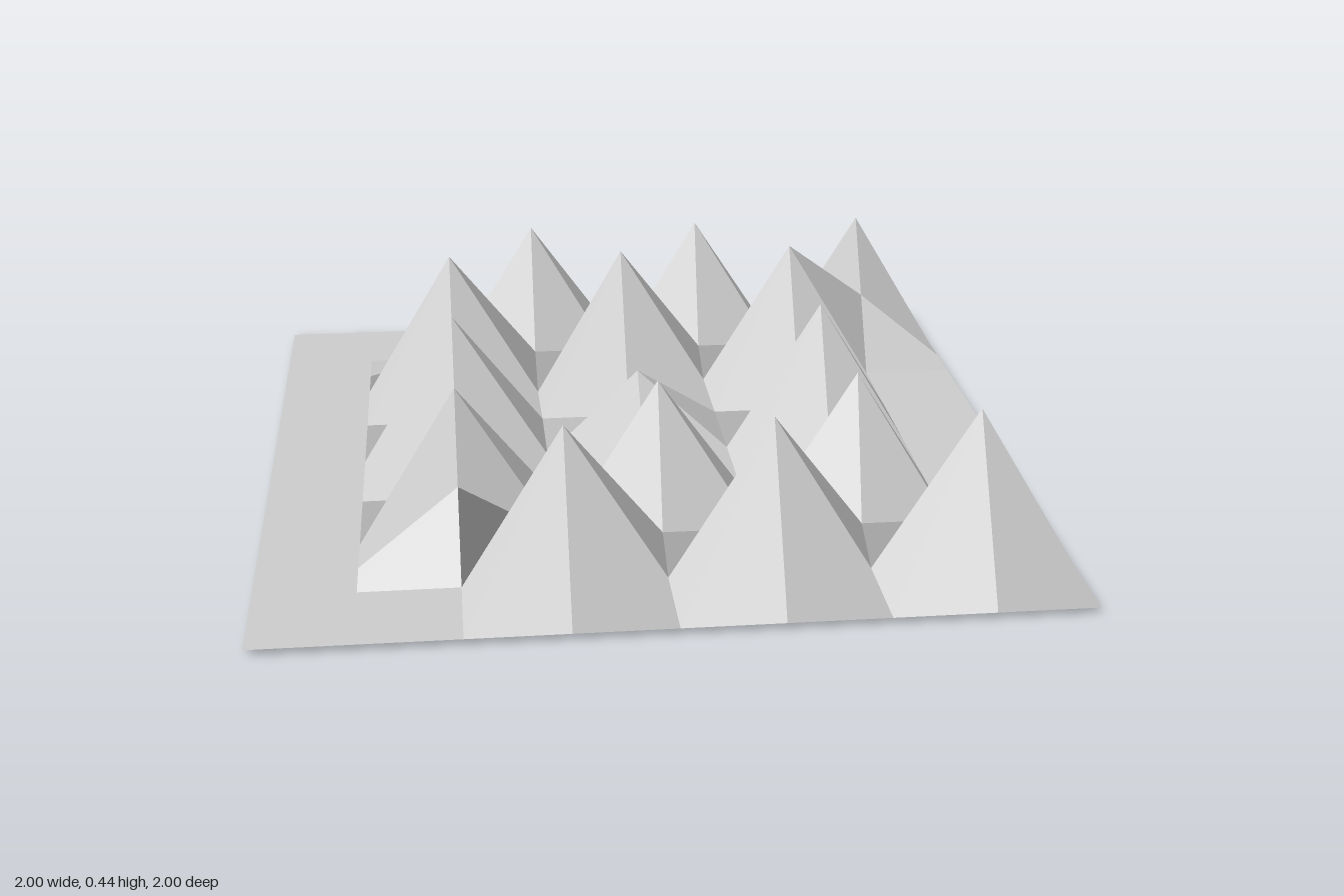
import * as THREE from 'three';

const BASE = 0.02, PEAK = 0.435, HALF = (BASE + PEAK) / 2, CREASE = 0.08;

// Grid lines of the sheet; the extra lines at z = +-0.625 are the valleys between crowded rows
const xs = [-1, -0.75, -0.5, -0.25, 0, 0.25, 0.5, 0.75, 1];
const zs = [-1, -0.75, -0.625, -0.5, -0.25, 0, 0.25, 0.5, 0.625, 0.75, 1];

const innerPeaks = [-0.5, 0, 0.5];
const outerPeaks = [-0.25, 0.25, 0.75];

// Height of one grid point
function heightAt(x, z) {
  const az = Math.abs(z);
  if (x === 0 && z === 0) return 0.26; // lower middle peak
  if ((x === -0.25 && z === -0.5) || (x === 0 && z === -0.75)) return 0; // two sunken points
  if (az === 0.75) return outerPeaks.includes(x) ? PEAK : BASE;
  if (az === 0.5 || az === 0) return innerPeaks.includes(x) ? PEAK : BASE;
  if (az === 0.625 && x >= -0.5 && x <= 0.75) {
    // the valley keeps its half height at one end of each row
    return x === (z > 0 ? -0.5 : 0.75) ? HALF : CREASE;
  }
  return BASE;
}

// Sheet of four-sided facets, each with a single normal
function buildSheet() {
  const positions = [], normals = [];
  const point = (i, j) => new THREE.Vector3(xs[i], heightAt(xs[i], zs[j]), zs[j]);
  for (let j = 0; j < zs.length - 1; j++) {
    for (let i = 0; i < xs.length - 1; i++) {
      const a = point(i, j), b = point(i, j + 1), c = point(i + 1, j + 1), d = point(i + 1, j);
      const n = c.clone().sub(a).cross(d.clone().sub(b)).normalize();
      for (const p of [a, b, d, b, c, d]) {
        positions.push(p.x, p.y, p.z);
        normals.push(n.x, n.y, n.z);
      }
    }
  }
  const geometry = new THREE.BufferGeometry();
  geometry.setAttribute('position', new THREE.Float32BufferAttribute(positions, 3));
  geometry.setAttribute('normal', new THREE.Float32BufferAttribute(normals, 3));
  return geometry;
}

export function createModel() {
  const group = new THREE.Group();
  group.name = 'spikedTerrain';
  const material = new THREE.MeshStandardMaterial({ color: 0xcccccc, side: THREE.DoubleSide });
  const sheet = new THREE.Mesh(buildSheet(), material);
  sheet.name = 'peakedSheet';
  group.add(sheet);
  return group;
}
